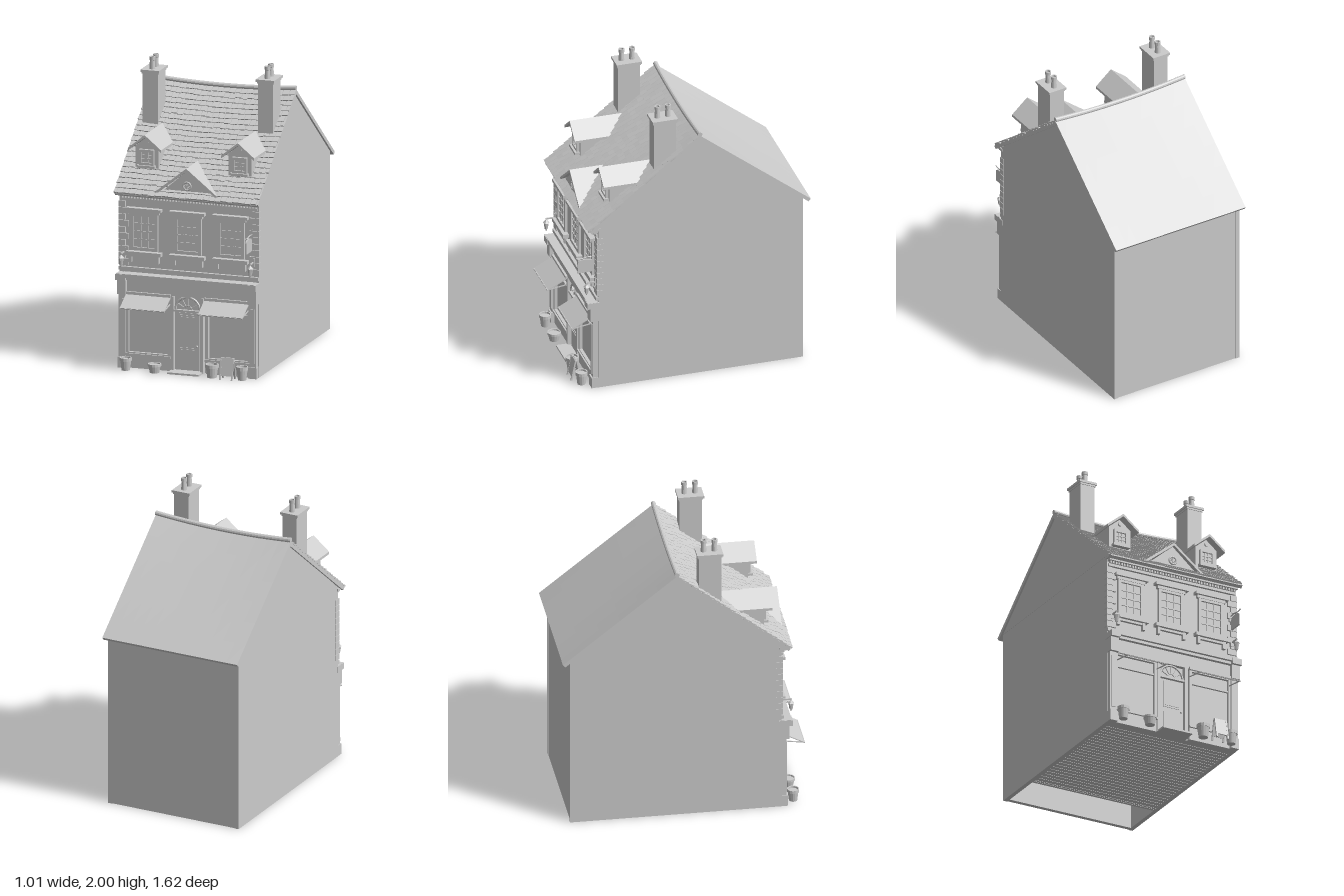
import * as THREE from 'three';
import { mergeGeometries } from 'three/addons/utils/BufferGeometryUtils.js';

const mat = new THREE.MeshStandardMaterial({ color: 0xcccccc, flatShading: true, side: THREE.DoubleSide });
const RIDGE_Y = 1.79, RIDGE_Z = -0.05, PITCH = Math.atan2(0.6, 0.76), SLOPE = Math.hypot(0.6, 0.76);

export function createModel() {
  const house = new THREE.Group();
  house.name = 'townhouse';
  let seed = 7;
  const rnd = () => (seed = (seed * 16807) % 2147483647) / 2147483647;

  const add = (name, geos, parent = house) => {
    const list = [].concat(geos).map(g => (g.index ? g.toNonIndexed() : g));
    const m = new THREE.Mesh(list.length > 1 ? mergeGeometries(list) : list[0], mat);
    m.name = name;
    parent.add(m);
    return m;
  };
  const group = (name, x = 0, y = 0, z = 0) => {
    const g = new THREE.Group();
    g.name = name;
    g.position.set(x, y, z);
    house.add(g);
    return g;
  };
  // box given by its limits on each axis
  const box = (x0, x1, y0, y1, z0, z1) => new THREE.BoxGeometry(x1 - x0, y1 - y0, z1 - z0)
    .translate((x0 + x1) / 2, (y0 + y1) / 2, (z0 + z1) / 2);
  const cyl = (rt, rb, h, x, y, z, n = 12, open = false) =>
    new THREE.CylinderGeometry(rt, rb, h, n, 1, open).translate(x, y + h / 2, z);
  // outline in x,y pushed from z0 to z1
  const prism = (pts, z0, z1) => new THREE.ExtrudeGeometry(
    new THREE.Shape(pts.map(p => new THREE.Vector2(...p))), { depth: z1 - z0, bevelEnabled: false }).translate(0, 0, z0);
  // chevron of two sloping boards, apex at (0, top)
  const chevron = (half, low, top, t, z0, z1) =>
    prism([[-half, low], [-half, low - t], [0, top - t], [half, low - t], [half, low], [0, top]], z0, z1);

  // walls, open underneath at the back
  const gable = (y0, pts) => new THREE.ExtrudeGeometry(
    new THREE.Shape(pts.map(p => new THREE.Vector2(...p))), { depth: 0.03, bevelEnabled: false }).rotateY(-Math.PI / 2);
  for (const s of [1, -1]) {
    const x0 = s > 0 ? 0.485 : -0.455;
    add('sideWall', box(x0 - 0.03, x0, 0, 1.2, -0.76, 0.645));
    add('gableWall', gable(0, [[-0.76, 1.2], [0.645, 1.2], [-0.05, 1.765]]).translate(x0 + s * 0.002, 0, 0));
  }
  add('backWall', box(-0.456, 0.456, 0, 1.2, -0.755, -0.725));
  add('frontWall', box(-0.456, 0.456, 0, 1.2, 0.61, 0.64));
  add('innerWall', box(-0.456, 0.456, 0, 1.2, -0.42, -0.4));
  const boards = [];
  for (let i = 0; i < 26; i++) boards.push(box(-0.455, 0.455, 0.002, 0.015, -0.42 + i * 0.04, -0.384 + i * 0.04));
  boards.push(box(-0.455, 0.455, 0.012, 0.02, -0.42, 0.62));
  add('floorBoards', boards);

  // main roof, sagging a little along the ridge
  const sag = g => {
    const p = g.attributes.position;
    for (let i = 0; i < p.count; i++) {
      const t = THREE.MathUtils.clamp((p.getY(i) - 1.19) / 0.6, 0, 1);
      p.setY(i, p.getY(i) - 0.022 * t * (1 - (p.getX(i) / 0.5) ** 2));
    }
    return g;
  };
  const onSlope = (g, back) => {
    g.rotateX(PITCH);
    if (back) g.rotateY(Math.PI);
    return sag(g.translate(0, RIDGE_Y, RIDGE_Z));
  };
  for (const back of [false, true]) {
    const slab = new THREE.BoxGeometry(1, 0.024, SLOPE, 12, 1, 6).translate(0, back ? -0.012 : -0.018, SLOPE / 2);
    add(back ? 'backRoof' : 'frontRoof', onSlope(slab, back));
  }
  const tiles = [], rows = 22, pitch = SLOPE / rows;
  for (let r = 0; r < rows; r++) {
    let x = -0.5 - (r % 2) * 0.02;
    while (x < 0.49) {
      const w = 0.036 + rnd() * 0.012, a = Math.max(x, -0.503), b = Math.min(x + w - 0.003, 0.503);
      const len = pitch + 0.008 + rnd() * 0.008;
      if (b - a > 0.008) {
        const t = new THREE.BoxGeometry(b - a, 0.01, len).translate(0, 0, len / 2);
        t.rotateX(-0.12 - rnd() * 0.06).translate((a + b) / 2, -0.005, r * pitch - 0.004);
        tiles.push(onSlope(t, false));
      }
      x += w;
    }
  }
  add('roofTiles', tiles);
  add('ridgeCap', sag(new THREE.CylinderGeometry(0.016, 0.016, 1, 10, 12).rotateZ(Math.PI / 2).translate(0, 1.798, RIDGE_Z)));

  // chimneys with two pots each
  for (const x of [-0.41, 0.392]) {
    const g = group('chimney', x, 0, 0.175);
    add('stack', box(-0.053, 0.053, 1.5, 1.9, -0.075, 0.075), g);
    add('stackCap', [box(-0.065, 0.065, 1.9, 1.916, -0.087, 0.087), box(-0.058, 0.058, 1.888, 1.902, -0.08, 0.08)], g);
    for (const z of [-0.036, 0.036]) {
      const pot = [[0, 0], [0.02, 0], [0.016, 0.06], [0.02, 0.062], [0.02, 0.084], [0.013, 0.084], [0.012, 0.02], [0, 0.02]];
      add('chimneyPot', new THREE.LatheGeometry(pot.map(p => new THREE.Vector2(...p)), 12).translate(0, 1.915, z), g);
    }
  }

  // window with frame and glazing bars, front at z = d
  const windowParts = (w, y0, y1, cols, rowsN, f, d) => {
    const g = [box(-w, w, y0, y1, 0, d * 0.3), box(-w, -w + f, y0, y1, 0, d), box(w - f, w, y0, y1, 0, d),
      box(-w, w, y0, y0 + f, 0, d), box(-w, w, y1 - f, y1, 0, d)];
    const iw = w - f, h = y1 - y0 - 2 * f, b = f * 0.2;
    for (let i = 1; i < cols; i++) {
      const x = -iw + (2 * iw * i) / cols;
      g.push(box(x - b, x + b, y0 + f, y1 - f, 0, d * 0.6));
    }
    for (let i = 1; i < rowsN; i++) {
      const y = y0 + f + (h * i) / rowsN;
      g.push(box(-iw, iw, y - b, y + b, 0, d * 0.65));
    }
    return g;
  };

  // dormers
  for (const x of [-0.33, 0.318]) {
    const g = group('dormer', x);
    add('dormerWalls', prism([[-0.08, 1.3], [0.08, 1.3], [0.08, 1.475], [0, 1.54], [-0.08, 1.475]], 0.25, 0.54), g);
    add('dormerRoof', chevron(0.115, 1.468, 1.562, 0.018, 0.235, 0.592), g);
    add('dormerWindow', windowParts(0.052, 1.35, 1.455, 3, 3, 0.016, 0.02).map(q => q.translate(0, 0, 0.54)), g);
    add('dormerSill', box(-0.062, 0.062, 1.333, 1.35, 0.53, 0.575), g);
    add('dormerBoss', new THREE.CylinderGeometry(0.014, 0.014, 0.012, 12).rotateX(Math.PI / 2).translate(0, 1.505, 0.545), g);
  }

  // pediment with round window
  const ped = group('pediment', -0.005);
  add('pedimentBody', prism([[-0.19, 1.2], [0.19, 1.2], [0, 1.365]], 0.45, 0.67), ped);
  add('pedimentRoof', chevron(0.225, 1.205, 1.385, 0.02, 0.45, 0.692), ped);
  add('pedimentBase', box(-0.22, 0.22, 1.19, 1.206, 0.62, 0.692), ped);
  const round = [new THREE.TorusGeometry(0.026, 0.006, 8, 20).translate(0, 1.262, 0.673)];
  for (let i = 0; i < 4; i++) round.push(new THREE.BoxGeometry(0.05, 0.004, 0.006).rotateZ(i * Math.PI / 4).translate(0, 1.262, 0.673));
  add('roundWindow', round, ped);

  // eaves cornice with dentils
  const dentils = [];
  for (let i = 0; i < 46; i++) dentils.push(box(-0.47 + i * 0.0206, -0.459 + i * 0.0206, 1.146, 1.162, 0.64, 0.668));
  add('dentils', dentils);
  add('eavesCornice', [box(-0.475, 0.475, 1.128, 1.146, 0.63, 0.658), box(-0.48, 0.48, 1.162, 1.178, 0.63, 0.68),
    box(-0.49, 0.49, 1.178, 1.195, 0.63, 0.712)]);

  // corner stones
  const quoins = [];
  for (const s of [-1, 1]) for (let i = 0; i < 10; i++) {
    const w = i % 2 ? 0.045 : 0.068, y = 0.69 + i * 0.0435;
    quoins.push(box(Math.min(s * 0.488, s * (0.488 - w)), Math.max(s * 0.488, s * (0.488 - w)), y, y + 0.04, 0.61, 0.655));
  }
  add('cornerStones', quoins);

  // upper windows
  for (const x of [-0.31, -0.008, 0.292]) {
    const g = group('upperWindow', x, 0, 0.64);
    add('sash', windowParts(0.095, 0.795, 1.05, 3, 4, 0.022, 0.02), g);
    add('lintel', [box(-0.105, 0.105, 1.045, 1.065, 0, 0.024), box(-0.122, 0.122, 1.065, 1.085, 0, 0.04)], g);
    add('sill', [box(-0.122, 0.122, 0.765, 0.79, 0, 0.04), box(-0.1, 0.1, 0.75, 0.765, 0, 0.02)], g);
    add('sillBrackets', [-1, 1].map(s => box(s * 0.095 - 0.01, s * 0.095 + 0.01, 0.715, 0.765, 0, 0.026)), g);
  }

  // shop front
  add('stringCourse', box(-0.485, 0.485, 0.655, 0.68, 0.63, 0.662));
  add('shopCornice', [box(-0.48, 0.48, 0.6, 0.618, 0.63, 0.695), box(-0.487, 0.487, 0.618, 0.642, 0.63, 0.715)]);
  add('fascia', box(-0.47, 0.47, 0.51, 0.6, 0.63, 0.67));
  for (const s of [-1, 1]) {
    const g = group('pilaster', s * 0.455);
    add('shaft', [box(-0.024, 0.024, 0, 0.5, 0.63, 0.68), box(-0.014, 0.014, 0.1, 0.47, 0.63, 0.686)], g);
    add('base', box(-0.029, 0.029, 0, 0.075, 0.63, 0.69), g);
    add('corbel', [box(-0.03, 0.03, 0.5, 0.6, 0.63, 0.7), box(-0.034, 0.034, 0.598, 0.64, 0.63, 0.72)], g);
    const shop = group('shopWindow', s * 0.278, 0, 0.64);
    add('shopFrame', windowParts(0.155, 0.09, 0.51, 1, 1, 0.018, 0.03), shop);
    add('transom', box(-0.15, 0.15, 0.405, 0.416, 0, 0.024), shop);
    add('stallRiser', [box(-0.155, 0.155, 0, 0.09, 0, 0.026), box(-0.158, 0.158, 0.086, 0.1, 0, 0.04)], shop);
    // sloping awning with valance
    const aw = group('awning', s * 0.272);
    const cloth = new THREE.BoxGeometry(0.31, 0.006, 0.17).rotateX(0.48).translate(0, 0.47, 0.735);
    add('cloth', [cloth, box(-0.155, 0.155, 0.428, 0.437, 0.802, 0.81), box(-0.155, 0.155, 0.5, 0.518, 0.65, 0.685)], aw);
    add('arms', [-0.148, 0.148].map(x => new THREE.BoxGeometry(0.006, 0.006, 0.15).rotateX(0.15).translate(x, 0.443, 0.73)), aw);
  }

  // door with fanlight
  const door = group('door', -0.007, 0, 0.64);
  add('doorPosts', [box(-0.115, -0.092, 0, 0.51, 0, 0.036), box(0.092, 0.115, 0, 0.51, 0, 0.036), box(-0.115, 0.115, 0.405, 0.42, 0, 0.03)], door);
  const leaf = [box(-0.092, 0.092, 0, 0.405, 0, 0.008), box(-0.08, 0.08, 0.012, 0.4, 0, 0.015)];
  for (const [y0, y1] of [[0.035, 0.165], [0.2, 0.385]])
    leaf.push(box(-0.062, 0.062, y0, y1, 0, 0.02), box(-0.05, 0.05, y0 + 0.012, y1 - 0.012, 0, 0.024));
  add('doorLeaf', leaf, door);
  add('doorKnob', new THREE.SphereGeometry(0.007, 10, 8).translate(0.068, 0.18, 0.024), door);
  const fan = [new THREE.CircleGeometry(0.09, 20, 0, Math.PI).translate(0, 0.42, 0.008),
    new THREE.TorusGeometry(0.085, 0.008, 6, 20, Math.PI).translate(0, 0.42, 0.014),
    new THREE.TorusGeometry(0.028, 0.004, 6, 14, Math.PI).translate(0, 0.42, 0.012)];
  for (let i = 1; i < 6; i++) fan.push(new THREE.BoxGeometry(0.058, 0.005, 0.008).translate(0.056, 0, 0)
    .rotateZ(i * Math.PI / 6).translate(0, 0.42, 0.012));
  add('fanlight', fan, door);
  add('doorStep', box(-0.11, 0.11, 0, 0.012, 0, 0.11), door);

  // wall lanterns
  for (const s of [-1, 1]) {
    const g = group('lantern', s * 0.45, 0, 0.715);
    add('lanternBracket', [box(-0.004, 0.004, 0.775, 0.784, -0.07, 0.004), box(-0.01, 0.01, 0.75, 0.81, -0.075, -0.055)], g);
    add('lanternBody', [cyl(0.018, 0.011, 0.045, 0, 0.705, 0, 6), cyl(0.004, 0.022, 0.02, 0, 0.75, 0, 6),
      cyl(0.003, 0.003, 0.015, 0, 0.765, 0, 6), cyl(0.007, 0.003, 0.015, 0, 0.69, 0, 6)], g);
  }

  // hanging board on an iron bracket
  const sign = group('hangingSign', 0.44);
  const outline = [[-0.052, 0.86], [0.052, 0.86], [0.052, 0.935]];
  for (let i = 1; i < 8; i++) outline.push([0.052 * Math.cos(i * Math.PI / 8), 0.935 + 0.02 * Math.sin(i * Math.PI / 8)]);
  outline.push([-0.052, 0.935]);
  add('board', prism(outline, -0.005, 0.005).rotateY(Math.PI / 2).translate(0, 0, 0.722), sign);
  const iron = new THREE.CatmullRomCurve3([[0.64, 0.965], [0.7, 0.97], [0.75, 0.962], [0.785, 0.968]]
    .map(([z, y]) => new THREE.Vector3(0, y, z)));
  add('signBracket', [new THREE.TubeGeometry(iron, 12, 0.004, 6), box(-0.008, 0.008, 0.93, 1.0, 0.64, 0.652)], sign);

  // flower pots and a folding pavement board
  for (const [x, r, h] of [[-0.41, 0.04, 0.085], [-0.21, 0.045, 0.06], [0.19, 0.045, 0.09], [0.4, 0.04, 0.09]]) {
    const p = [[0, 0], [r * 0.7, 0], [r * 0.9, h * 0.75], [r, h * 0.75], [r, h], [r * 0.82, h], [r * 0.8, h * 0.85], [0, h * 0.85]];
    add('flowerPot', new THREE.LatheGeometry(p.map(q => new THREE.Vector2(...q)), 14).translate(x, 0, 0.735));
  }
  const easel = group('pavementBoard', 0.305, 0, 0.755);
  for (const s of [-1, 1]) {
    const leg = [box(-0.042, 0.042, -0.12, 0, -0.003, 0.003), box(-0.046, -0.036, -0.147, 0, -0.005, 0.005), box(0.036, 0.046, -0.147, 0, -0.005, 0.005)];
    add('boardLeaf', leg.map(g => g.rotateX(-s * 0.2).translate(0, 0.146, s * 0.004)), easel);
  }
  return house;
}
